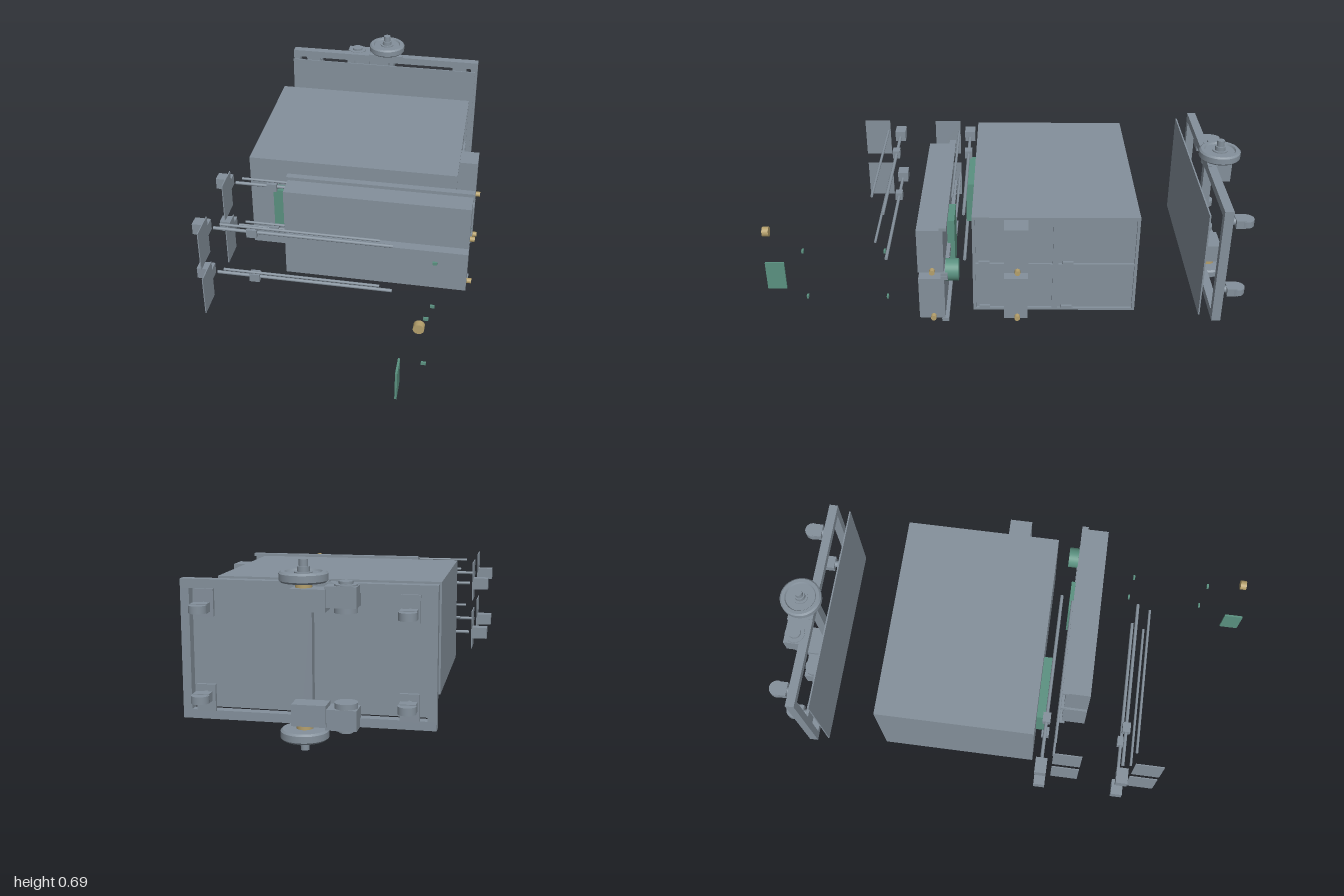
import * as THREE from 'three';

const mat = (name, color) => {
  const m = new THREE.MeshStandardMaterial({ color });
  m.name = name;
  return m;
};

export function createModel() {
  const root = new THREE.Group();
  root.name = 'explodedCart';
  const steel = mat('steelGrey', 0x84909b);
  const green = mat('circuitGreen', 0x5a9180);
  const brass = mat('brass', 0xb5a06c);

  // box given by its extents on each axis
  const box = (name, m, [x0, x1], [y0, y1], [z0, z1], parent = root) => {
    const mesh = new THREE.Mesh(new THREE.BoxGeometry(x1 - x0, y1 - y0, z1 - z0), m);
    mesh.position.set((x0 + x1) / 2, (y0 + y1) / 2, (z0 + z1) / 2);
    mesh.name = name;
    parent.add(mesh);
    return mesh;
  };
  // cylinder centred on a point, along axis x, y or z
  const cyl = (name, m, r, len, axis, x, y, z, parent = root) => {
    const g = new THREE.CylinderGeometry(r, r, len, 32);
    if (axis === 'x') g.rotateZ(Math.PI / 2);
    if (axis === 'z') g.rotateX(Math.PI / 2);
    const mesh = new THREE.Mesh(g, m);
    mesh.position.set(x, y, z);
    mesh.name = name;
    parent.add(mesh);
    return mesh;
  };
  const MID = 0.342;

  // chassis: base plate, perimeter frame, cross beam
  const chassis = new THREE.Group();
  chassis.name = 'chassis';
  root.add(chassis);
  box('basePlate', steel, [-0.44, 0.47], [0.107, 0.577], [-0.804, -0.798], chassis);
  const fz = [-0.89, -0.853];
  for (const y of [0.085, 0.567]) box('frameSide', steel, [-0.45, 0.48], [y, y + 0.033], fz, chassis);
  for (const x of [-0.45, 0.447]) box('frameEnd', steel, [x, x + 0.033], [0.118, 0.567], fz, chassis);
  box('crossBeam', steel, [-0.005, 0.035], [0.118, 0.567], fz, chassis);

  // drive units and casters, mirrored about the middle height
  const wheelProfile = [[0.03, -0.019], [0.08, -0.019], [0.087, -0.012], [0.087, 0.012], [0.08, 0.019],
    [0.066, 0.019], [0.062, 0.012], [0.02, 0.012]].map(([r, y]) => new THREE.Vector2(r, y));
  // one lathe band per pair of points keeps the profile edges sharp
  const wheel = (parent, x, y, z, s) => {
    const g = new THREE.Group();
    g.name = 'driveWheel';
    for (let i = 0; i < wheelProfile.length - 1; i++) {
      const band = new THREE.Mesh(new THREE.LatheGeometry([wheelProfile[i], wheelProfile[i + 1]], 40), steel);
      band.name = 'wheelBand';
      g.add(band);
    }
    cyl('wheelHub', steel, 0.032, 0.034, 'y', 0, 0, 0, g);
    cyl('axleCollar', steel, 0.022, 0.02, 'y', 0, 0.025, 0, g);
    cyl('axle', steel, 0.016, 0.045, 'y', 0, 0.038, 0, g);
    g.position.set(x, y, z);
    if (s < 0) g.rotation.x = Math.PI;
    parent.add(g);
  };
  for (const s of [1, -1]) {
    const Y = (d) => MID + s * d;
    const span = (a, b) => [Y(a), Y(b)].sort((p, q) => p - q);
    const drive = new THREE.Group();
    drive.name = s > 0 ? 'upperDrive' : 'lowerDrive';
    chassis.add(drive);
    wheel(drive, 0.017, Y(0.282), -0.915, s);
    cyl('shaftCoupling', brass, 0.03, 0.02, 'y', 0.017, Y(0.254), -0.915, drive);
    box('motorMount', steel, [-0.065, 0.102], span(0.235, 0.263), [-0.87, -0.853], drive);
    box('gearbox', steel, [-0.07, 0.055], span(0.165, 0.244), [-0.965, -0.89], drive);
    cyl('motor', steel, 0.042, 0.1, 'y', -0.133, Y(0.21), -0.915, drive);
    box('motorBlock', steel, [-0.178, -0.065], span(0.18, 0.255), [-0.957, -0.875], drive);
    cyl('motorCap', steel, 0.025, 0.012, 'y', -0.133, Y(0.264), -0.915, drive);
    for (const x of [-0.355, 0.388]) {
      const caster = new THREE.Group();
      caster.name = 'caster';
      chassis.add(caster);
      box('casterPlate', steel, [x - 0.035, x + 0.035], span(0.125, 0.225), [-0.9, -0.887], caster);
      cyl('casterStem', steel, 0.015, 0.04, 'z', x, Y(0.163), -0.915, caster);
      box('casterFork', steel, [x - 0.03, x + 0.03], span(0.146, 0.18), [-0.96, -0.92], caster);
      cyl('casterWheel', steel, 0.033, 0.028, 'y', x, Y(0.163), -0.963, caster);
    }
  }

  // cabinet with four bays on its side
  const cabinet = new THREE.Group();
  cabinet.name = 'cabinet';
  root.add(cabinet);
  box('cabinetBody', steel, [-0.425, 0.45], [0.122, 0.56], [-0.535, 0.127], cabinet);
  const lip = [0.45, 0.46];
  for (const y of [0.122, 0.335, 0.55]) box('shelfEdge', steel, lip, [y, y + 0.01], [-0.535, 0.127], cabinet);
  for (const z of [-0.535, -0.217, 0.115]) {
    for (const y of [0.132, 0.345]) box('wallEdge', steel, lip, [y, y + (y > 0.2 ? 0.205 : 0.203)], [z, z + (z === -0.217 ? 0.022 : 0.012)], cabinet);
  }
  for (const y of [0.132, 0.345]) {
    for (const z of [0.08, -0.255]) box('bayLatch', steel, [0.45, 0.462], [y, y + 0.01], [z - 0.022, z + 0.022], cabinet);
  }

  // drawers: one pair half inside the cabinet, one pair set out in front
  const knob = (x, y, z) => cyl('drawerKnob', brass, 0.011, 0.04, 'x', x, y, z);
  for (const [y0, y1] of [[0.14, 0.322], [0.357, 0.545]]) {
    box('dispensingDrawer', steel, [0.44, 0.537], [y0 - 0.004, y1 + 0.004], [-0.095, 0]);
    knob(0.536, y0 + 0.006, -0.053);
    box('frontDrawer', steel, [-0.23, 0.535], [y0 - 0.004, y1], [0.245, 0.34]);
    box('drawerBack', steel, [-0.237, 0.54], [y0 - 0.018, y0 - 0.004], [0.222, 0.25]);
    box('drawerBack', steel, [-0.237, 0.54], [y1, y1 + 0.014], [0.222, 0.25]);
    box('drawerRear', steel, [-0.23, 0.535], [y0 - 0.004, y1], [0.237, 0.245]);
    knob(0.535, y0 + 0.006, 0.283);
  }

  // slide assemblies: actuator, guide rod, pusher plate
  for (const y of [0.23, 0.453]) {
    for (const z of [0.17, 0.505]) {
      const slide = new THREE.Group();
      slide.name = 'slideAssembly';
      root.add(slide);
      box('actuatorMotor', steel, [-0.56, -0.495], [y - 0.024, y + 0.025], [z - 0.024, z + 0.024], slide);
      cyl('leadScrew', steel, 0.007, 0.725, 'x', -0.117, y, z, slide);
      box('slideNut', steel, [-0.34, -0.298], [y - 0.018, y + 0.018], [z - 0.016, z + 0.017], slide);
      cyl('guideRod', steel, 0.0055, 0.635, 'x', -0.117, y + 0.057, z + 0.048, slide);
      box('pusherPlate', steel, [-0.49, -0.486], [y - 0.087, y + 0.086], [z + 0.045, z + 0.163], slide);
    }
  }

  // electronics
  box('controlBoard', green, [-0.315, -0.042], [0.25, 0.435], [0.127, 0.172]);
  box('driverBoard', green, [0.175, 0.315], [0.23, 0.46], [0.205, 0.235]);
  cyl('sensorDome', green, 0.045, 0.052, 'z', 0.49, 0.34, 0.206);
  box('sensorBoard', green, [0.325, 0.333], [0.135, 0.263], [0.92, 1.0]);
  for (const y of [0.152, 0.373]) {
    for (const z of [0.483, 0.815]) box('smallSensor', green, [0.401, 0.42], [y - 0.006, y + 0.006], [z - 0.004, z + 0.004]);
  }
  cyl('looseKnob', brass, 0.02, 0.026, 'z', 0.398, 0.456, 0.957);

  return root;
}
